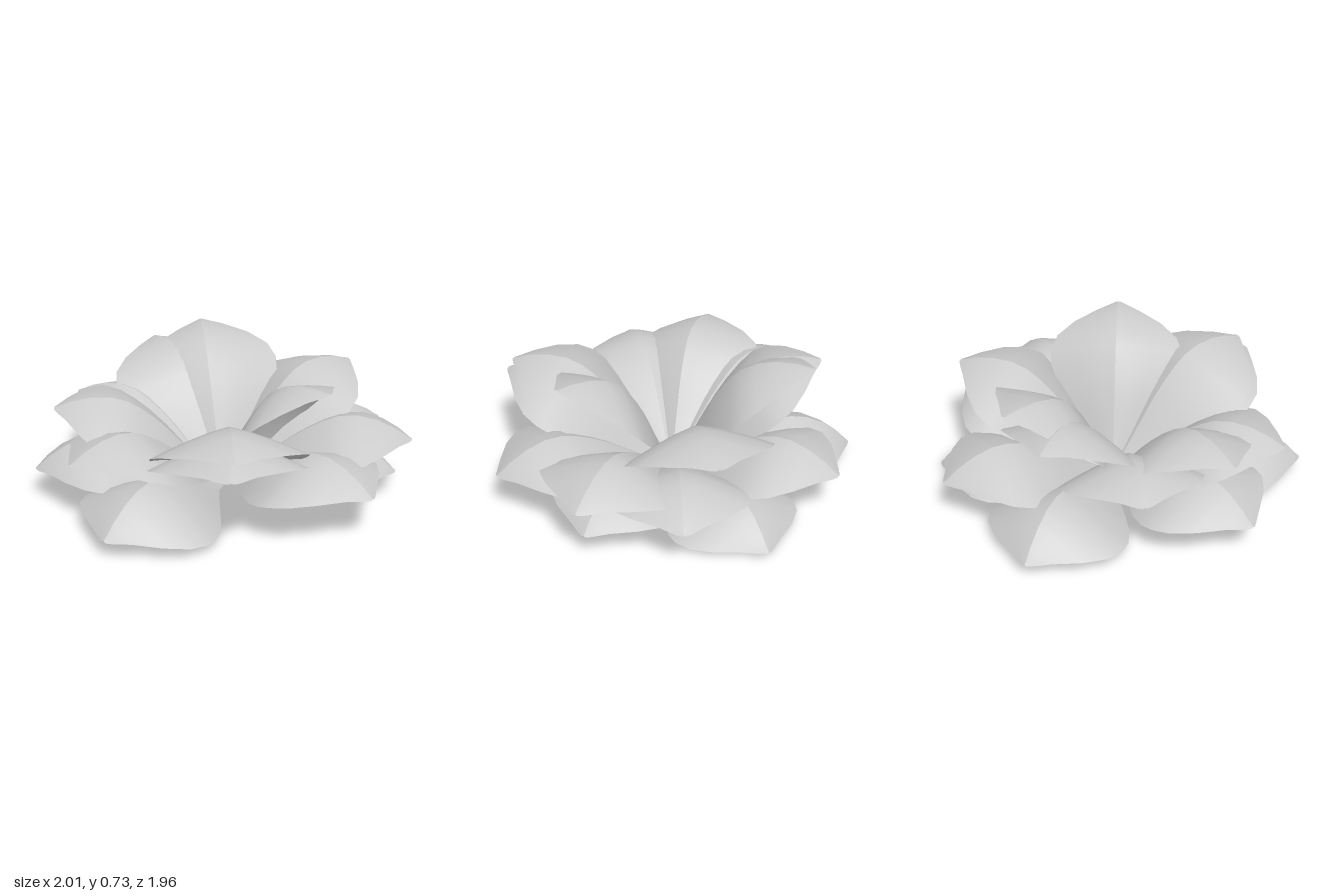
import * as THREE from 'three';

const BASE = new THREE.Vector3(-0.03, 0.01, 0.02);

// Stations along a petal of length 1: [t, arch height of the ridge, half width]
const STATIONS = [
  [0, 0, 0.012], [0.1, 0.035, 0.05], [0.2, 0.075, 0.115], [0.3, 0.115, 0.19],
  [0.4, 0.155, 0.265], [0.5, 0.185, 0.335], [0.6, 0.205, 0.375], [0.68, 0.21, 0.38],
  [0.77, 0.19, 0.345], [0.86, 0.14, 0.25], [0.94, 0.07, 0.12], [0.985, 0.015, 0.04], [1, 0, 0.012],
];
const STEPS = 4;

// Rings of petals: how far the edges droop, and each petal's tip with an optional roll
const RINGS = [
  { name: 'innerPetal', droop: 0.38, petals: [
    [-0.28, 0.72, -0.71, -0.12], [0.58, 0.71, 0.35], [-0.54, 0.63, -0.63],
  ] },
  { name: 'middlePetal', droop: 0.38, petals: [
    [0.60, 0.56, -0.62], [0.18, 0.55, 0.92], [0.17, 0.47, 0.97], [-0.90, 0.51, 0.27, -0.15],
    [-0.90, 0.42, -0.23], [-0.70, 0.38, 0.70], [1.00, 0.33, -0.03],
  ] },
  { name: 'outerPetal', droop: 0.4, petals: [
    [-0.06, 0.26, -0.98], [0.83, 0.25, 0.58], [0.79, 0.25, -0.53],
    [-1.00, 0.18, 0.34], [0.92, 0.14, -0.02],
  ] },
  { name: 'lowestPetal', droop: 0.53, petals: [
    [-0.66, 0.08, -0.78], [-0.47, 0.10, 0.96, -0.08], [0.44, 0.03, -0.83],
  ] },
];

// One half of a petal, from the ridge out to the drooping edge
function petalHalf(side, droop) {
  const pos = [], index = [];
  const row = STEPS + 1;
  STATIONS.forEach(([t, arch, width], i) => {
    for (let j = 0; j <= STEPS; j++) {
      const s = j / STEPS;
      pos.push(side * width * s, arch - droop * width * Math.pow(s, 1.25), t);
      if (i && j) {
        const a = (i - 1) * row + j - 1, b = a + 1, c = a + row, d = c + 1;
        if (side > 0) index.push(a, c, b, b, c, d);
        else index.push(a, b, c, b, d, c);
      }
    }
  });
  const g = new THREE.BufferGeometry();
  g.setAttribute('position', new THREE.Float32BufferAttribute(pos, 3));
  g.setIndex(index);
  g.computeVertexNormals();
  return g;
}

export function createModel() {
  const flower = new THREE.Group();
  flower.name = 'flower';
  const material = new THREE.MeshStandardMaterial({ color: 0xcccccc, side: THREE.DoubleSide });

  for (const { name, droop, petals } of RINGS) {
    // Separate halves keep the fold along the ridge sharp
    const halves = [petalHalf(1, droop), petalHalf(-1, droop)];
    for (const [x, y, z, roll = 0] of petals) {
      const petal = new THREE.Group();
      petal.name = name;
      halves.forEach((g, i) => {
        const mesh = new THREE.Mesh(g, material);
        mesh.name = i ? 'petalRightHalf' : 'petalLeftHalf';
        petal.add(mesh);
      });
      // Local z runs from the heart to the tip, local y is the upper face
      const along = new THREE.Vector3(x, y, z).sub(BASE);
      petal.scale.setScalar(along.length());
      along.normalize();
      const across = new THREE.Vector3(0, 1, 0).cross(along).normalize();
      const up = along.clone().cross(across);
      petal.quaternion.setFromRotationMatrix(new THREE.Matrix4().makeBasis(across, up, along));
      petal.rotateZ(roll);
      petal.position.copy(BASE);
      flower.add(petal);
    }
  }
  return flower;
}
